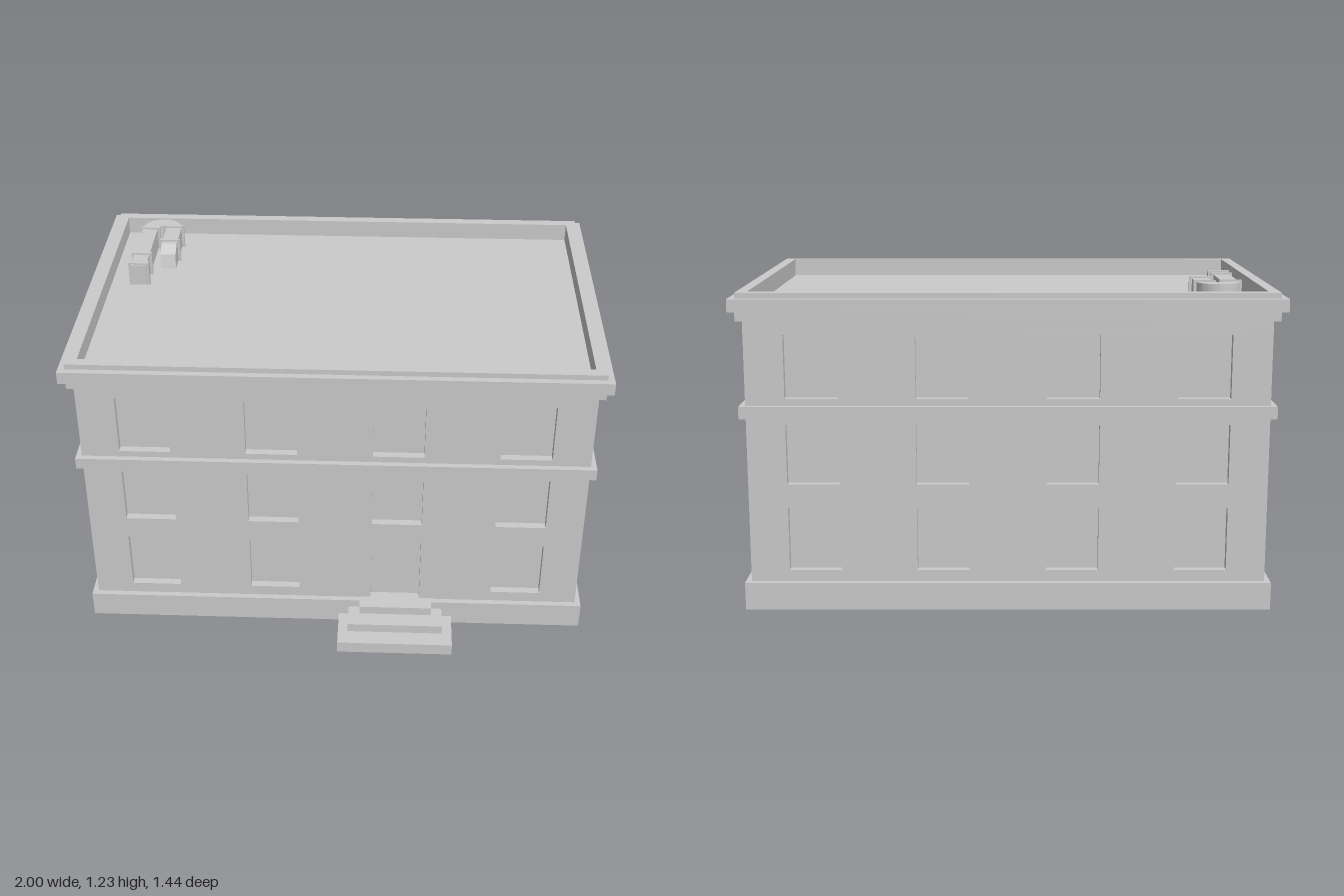
import * as THREE from 'three';

const grey = new THREE.MeshStandardMaterial({ color: 0xcccccc, side: THREE.DoubleSide, flatShading: true });
const HALF_X = 0.955, HALF_Z = 0.6, CENTRE_Z = -0.0715;
const RECESS = 0.03;

function add(parent, name, geometry, x = 0, y = 0, z = 0) {
  const mesh = new THREE.Mesh(geometry, grey);
  mesh.name = name;
  mesh.position.set(x, y, z);
  parent.add(mesh);
  return mesh;
}

function box(parent, name, x0, x1, y0, y1, z0, z1) {
  return add(parent, name, new THREE.BoxGeometry(x1 - x0, y1 - y0, z1 - z0),
    (x0 + x1) / 2, (y0 + y1) / 2, (z0 + z1) / 2);
}

// Sweeps a profile of [outward offset, height] around the wall rectangle
function band(profile) {
  const signs = [[-1, 1], [1, 1], [1, -1], [-1, -1]];
  const corner = (i, [o, y]) => [signs[i % 4][0] * (HALF_X + o), y, signs[i % 4][1] * (HALF_Z + o)];
  const pos = [];
  for (let p = 0; p < profile.length - 1; p++) {
    for (let i = 0; i < 4; i++) {
      const a = corner(i, profile[p]), b = corner(i + 1, profile[p]);
      const c = corner(i + 1, profile[p + 1]), d = corner(i, profile[p + 1]);
      pos.push(...a, ...b, ...c, ...a, ...c, ...d);
    }
  }
  const g = new THREE.BufferGeometry();
  g.setAttribute('position', new THREE.Float32BufferAttribute(pos, 3));
  g.computeVertexNormals();
  return g;
}

function rectangle(Type, x0, x1, y0, y1) {
  return new Type().moveTo(x0, y0).lineTo(x1, y0).lineTo(x1, y1).lineTo(x0, y1).closePath();
}

// Four reveals of an opening, as an open square tube along z
function revealGeometry(w, h) {
  const g = new THREE.CylinderGeometry(Math.SQRT1_2, Math.SQRT1_2, 1, 4, 1, true)
    .rotateY(Math.PI / 4).rotateX(Math.PI / 2).scale(w, h, RECESS).toNonIndexed();
  g.computeVertexNormals();
  return g;
}

// One wall panel with recessed openings [x centre, width, bottom, top]
function wall(parent, half, y0, y1, openings) {
  const shape = rectangle(THREE.Shape, -half, half, y0, y1);
  for (const [x, w, b, t] of openings) {
    shape.holes.push(rectangle(THREE.Path, x - w / 2, x + w / 2, b, t));
    add(parent, 'windowReveal', revealGeometry(w, t - b), x, (b + t) / 2, -RECESS / 2);
    add(parent, 'windowPane', new THREE.PlaneGeometry(w, t - b), x, (b + t) / 2, -RECESS);
  }
  add(parent, 'wall', new THREE.ShapeGeometry(shape));
}

function buildWalls(building) {
  const rows = [[0.162, 0.4], [0.49, 0.714], [0.81, 1.045]];
  const storeys = [[0.118, 0.74, rows.slice(0, 2)], [0.785, 1.097, rows.slice(2)]];
  for (let side = 0; side < 4; side++) {
    const long = side % 2 === 0;
    const face = new THREE.Group();
    face.name = ['frontWall', 'leftWall', 'backWall', 'rightWall'][side];
    face.rotation.y = side * Math.PI / 2;
    const out = long ? HALF_Z : HALF_X;
    face.position.set(Math.sin(face.rotation.y) * out, 0, Math.cos(face.rotation.y) * out);
    building.add(face);

    const columns = long ? [-0.715, -0.239, 0.238, 0.714] : [-0.333, 0.333];
    const width = long ? 0.193 : 0.177;
    for (const [y0, y1, levels] of storeys) {
      const openings = [];
      for (const [b, t] of levels) {
        columns.forEach((x, i) => {
          const door = side === 0 && i === 2 && b < 0.2;
          openings.push([x, width, door ? 0.12 : b, t]);
        });
      }
      wall(face, long ? HALF_X : HALF_Z, y0, y1, openings);
      // Flat pilaster in the middle of the short sides
      if (!long) box(face, 'pilaster', -0.139, 0.139, y0, y1, -0.0005, 0.013);
    }
  }
}

// Square ventilation duct with a U bend, a downturned mouth and flanges
function buildDuct(model) {
  const duct = new THREE.Group();
  duct.name = 'roofDuct';
  model.add(duct);
  const bottom = 1.137, top = 1.22;

  const plan = new THREE.Shape();
  plan.moveTo(-0.69, 0.375).lineTo(-0.69, 0.52);
  plan.absarc(-0.77, 0.52, 0.08, 0, Math.PI, false);
  plan.lineTo(-0.85, 0.18).lineTo(-0.788, 0.18).lineTo(-0.788, 0.52);
  plan.absarc(-0.77, 0.52, 0.018, Math.PI, 0, true);
  plan.lineTo(-0.752, 0.375).closePath();
  const bend = new THREE.ExtrudeGeometry(plan, { depth: top - bottom, bevelEnabled: false, curveSegments: 8 });
  add(duct, 'ductRun', bend.rotateX(-Math.PI / 2), 0, bottom, 0);

  // Mouth: side profile in z and y, extruded across x
  const mouth = new THREE.Shape();
  mouth.moveTo(0.375, bottom).lineTo(0.313, bottom).lineTo(0.328, 1.195).lineTo(0.375, top).closePath();
  const mouthGeometry = new THREE.ExtrudeGeometry(mouth, { depth: 0.062, bevelEnabled: false });
  add(duct, 'ductMouth', mouthGeometry.rotateY(Math.PI / 2), -0.752, 0, 0);

  for (const [x, z, t] of [[-0.819, -0.195, 0.02], [-0.819, -0.278, 0.012], [-0.819, -0.51, 0.012],
    [-0.721, -0.4, 0.012], [-0.721, -0.527, 0.012]]) {
    box(duct, 'ductFlange', x - 0.041, x + 0.041, 1.13, 1.227, z - t / 2, z + t / 2);
  }
}

export function createModel() {
  const model = new THREE.Group();
  model.name = 'building';

  const building = new THREE.Group();
  building.name = 'buildingShell';
  building.position.z = CENTRE_Z;
  model.add(building);

  buildWalls(building);
  add(building, 'plinth', band([[0.022, 0.014], [0.022, 0.118], [0, 0.118]]));
  add(building, 'floorBand', band([[0, 0.74], [0.022, 0.74], [0.022, 0.785], [0, 0.785]]));
  add(building, 'corniceAndParapet', band([[0, 1.097], [0.022, 1.097], [0.022, 1.133], [0.045, 1.133],
    [0.045, 1.18], [0.02, 1.18], [0.02, 1.2], [-0.02, 1.2], [-0.02, 1.13]]));
  add(building, 'roof', new THREE.PlaneGeometry(2 * (HALF_X - 0.02), 2 * (HALF_Z - 0.02)).rotateX(-Math.PI / 2), 0, 1.13, 0);

  // Entrance steps
  for (const [half, y0, y1, front] of [[0.225, 0, 0.048, 0.722], [0.186, 0.048, 0.085, 0.655], [0.142, 0.085, 0.12, 0.59]]) {
    box(model, 'entranceStep', 0.24 - half, 0.24 + half, y0, y1, half > 0.2 ? 0.445 : 0.5, front);
  }

  buildDuct(model);
  return model;
}
